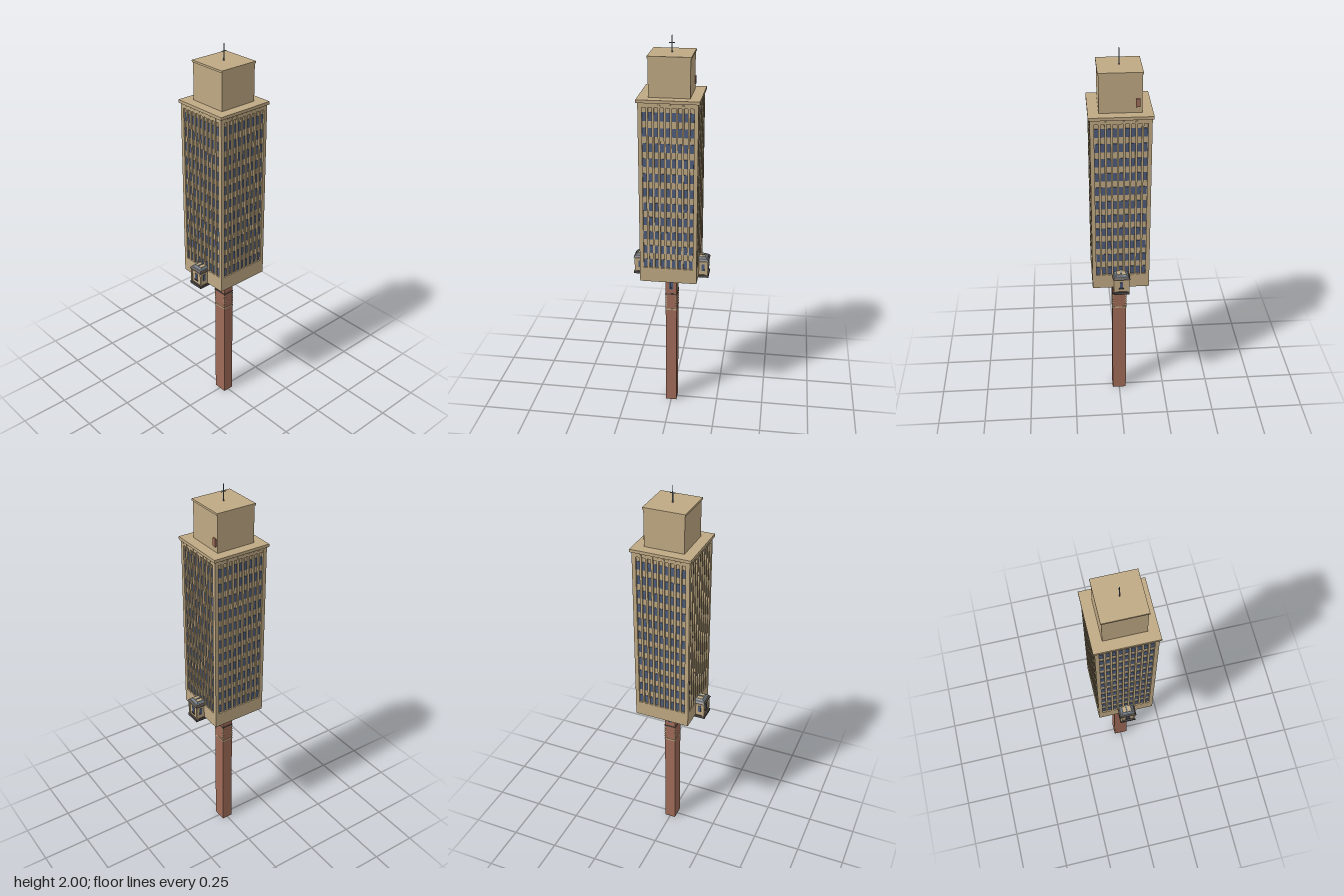
import * as THREE from 'three';

export function createModel() {
  const root = new THREE.Group();
  root.name = 'towerOnShaft';
  const mat = (name, color, side = THREE.FrontSide) => {
    const m = new THREE.MeshStandardMaterial({ color, side });
    m.name = name;
    return m;
  };
  const stone = mat('sandstone', 0xbfa983);
  const brick = mat('brick', 0x9f6b58, THREE.DoubleSide);
  const glass = mat('windowBlue', 0x4d5c7c);
  const slate = mat('slate', 0x6c7a88);
  const dark = mat('darkTrim', 0x4c4744);
  const pale = mat('paleTrim', 0xd9d8d2);

  const add = (parent, name, geo, m, x = 0, y = 0, z = 0) => {
    const mesh = new THREE.Mesh(geo, m);
    mesh.name = name;
    mesh.position.set(x, y, z);
    parent.add(mesh);
    return mesh;
  };
  // box given by width, bottom, top, depth
  const box = (parent, name, m, w, y0, y1, d, x = 0, z = 0) =>
    add(parent, name, new THREE.BoxGeometry(w, y1 - y0, d), m, x, (y0 + y1) / 2, z);
  // rectangular frustum: base w0 x d0, top w1 x d1
  const frustum = (parent, name, m, w0, d0, w1, d1, y0, y1) => {
    const g = new THREE.BoxGeometry(w0, y1 - y0, d0).toNonIndexed();
    const p = g.attributes.position;
    for (let i = 0; i < p.count; i++) {
      if (p.getY(i) > 0) {
        p.setX(i, Math.sign(p.getX(i)) * w1 / 2);
        p.setZ(i, Math.sign(p.getZ(i)) * d1 / 2);
      }
    }
    g.computeVertexNormals();
    return add(parent, name, g, m, 0, (y0 + y1) / 2, 0);
  };

  // main block: core, plinth, roof slab
  box(root, 'towerCore', stone, 0.27, 0.785, 1.72, 0.27);
  box(root, 'plinth', stone, 0.287, 0.785, 0.862, 0.287);
  box(root, 'cornice', stone, 0.302, 1.712, 1.727, 0.302);

  // four facades with recessed windows between piers
  const step = 0.0285;
  const windowGeo = new THREE.BoxGeometry(0.018, 0.043, 0.004);
  for (let f = 0; f < 4; f++) {
    const facade = new THREE.Group();
    facade.name = 'facade';
    facade.rotation.y = f * Math.PI / 2;
    for (let c = -4; c <= 4; c++) {
      for (let r = 0; r < 11; r++)
        add(facade, 'window', windowGeo, glass, c * step, 0.886 + r * 0.0759, 0.135);
      if (c < 4) box(facade, 'pier', stone, 0.0105, 0.86, 1.705, 0.01, (c + 0.5) * step, 0.1385);
    }
    box(facade, 'lintelBand', stone, 0.28, 1.69, 1.712, 0.007, 0, 0.1385);
    box(facade, 'cornerPier', stone, 0.0195, 0.86, 1.713, 0.0195, 0.13375, 0.13375);
    root.add(facade);
  }

  // rooftop block, its door and the mast
  box(root, 'penthouse', stone, 0.2, 1.727, 1.912, 0.2);
  box(root, 'penthouseCap', stone, 0.208, 1.91, 1.92, 0.208);
  box(root, 'roofDoor', brick, 0.008, 1.755, 1.795, 0.02, 0.102, -0.08);
  add(root, 'mast', new THREE.CylinderGeometry(0.002, 0.003, 0.08, 8), slate, 0, 1.96, 0);
  box(root, 'mastCrossbar', slate, 0.027, 1.963, 1.966, 0.003);

  // side cabins: one bar running through the tower foot
  const cabins = new THREE.Group();
  cabins.name = 'sideCabins';
  root.add(cabins);
  box(cabins, 'cabinWalls', stone, 0.372, 0.785, 0.866, 0.07);
  box(cabins, 'platform', dark, 0.388, 0.772, 0.786, 0.08);
  box(cabins, 'platformStrip', slate, 0.36, 0.769, 0.772, 0.03);
  frustum(cabins, 'roofEave', dark, 0.392, 0.088, 0.372, 0.068, 0.863, 0.874);
  box(cabins, 'roofEdge', pale, 0.373, 0.874, 0.8755, 0.069);
  frustum(cabins, 'roofSlope', slate, 0.368, 0.064, 0.35, 0.046, 0.8755, 0.882);
  box(cabins, 'roofFlat', stone, 0.349, 0.882, 0.884, 0.045);
  box(cabins, 'roofRidge', slate, 0.344, 0.884, 0.888, 0.006);
  for (const s of [-1, 1]) {
    box(cabins, 'endWindow', glass, 0.004, 0.81, 0.843, 0.016, s * 0.187);
    box(cabins, 'endSill', dark, 0.008, 0.803, 0.808, 0.024, s * 0.187);
    for (const t of [-1, 1]) {
      box(cabins, 'cornerPost', stone, 0.009, 0.786, 0.865, 0.009, s * 0.186, t * 0.035);
      box(cabins, 'sideWindow', glass, 0.014, 0.808, 0.845, 0.004, s * 0.165, t * 0.035);
    }
  }

  // lamps hanging under the platform
  const lamp = (x, z, y) => {
    box(root, 'lampRod', dark, 0.002, y, 0.785, 0.002, x, z);
    add(root, 'lampHead', new THREE.SphereGeometry(0.004, 8, 6), slate, x, y, z);
  };
  for (const x of [0.06, 0.097, 0.133])
    for (const s of [-1, 1]) lamp(s * x, 0, 0.752);
  for (const z of [-0.05, 0.05]) lamp(0, z, 0.705);

  // hollow brick shaft, open at the foot
  const shaftGeo = new THREE.CylinderGeometry(Math.SQRT1_2, Math.SQRT1_2, 0.78, 4, 1, true).toNonIndexed();
  shaftGeo.rotateY(Math.PI / 4);
  shaftGeo.scale(0.058, 1, 0.074);
  shaftGeo.computeVertexNormals();
  add(root, 'shaft', shaftGeo, brick, 0, 0.39, 0);

  // shaft bands, quoins and panels
  box(root, 'lowerBand', stone, 0.061, 0.566, 0.574, 0.077);
  box(root, 'upperBand', dark, 0.062, 0.658, 0.664, 0.078);
  for (const s of [-1, 1]) {
    for (const t of [-1, 1])
      for (let i = 0; i < 5; i++)
        box(root, 'quoin', stone, 0.008, 0.584 + i * 0.015, 0.591 + i * 0.015, 0.008, s * 0.0265, t * 0.0345);
    box(root, 'shaftWindow', glass, 0.022, 0.69, 0.768, 0.004, 0, s * 0.037);
  }
  box(root, 'doorFrame', stone, 0.006, 0.672, 0.742, 0.036, 0.029);
  box(root, 'doorPanel', pale, 0.004, 0.682, 0.734, 0.022, 0.0315);
  return root;
}
